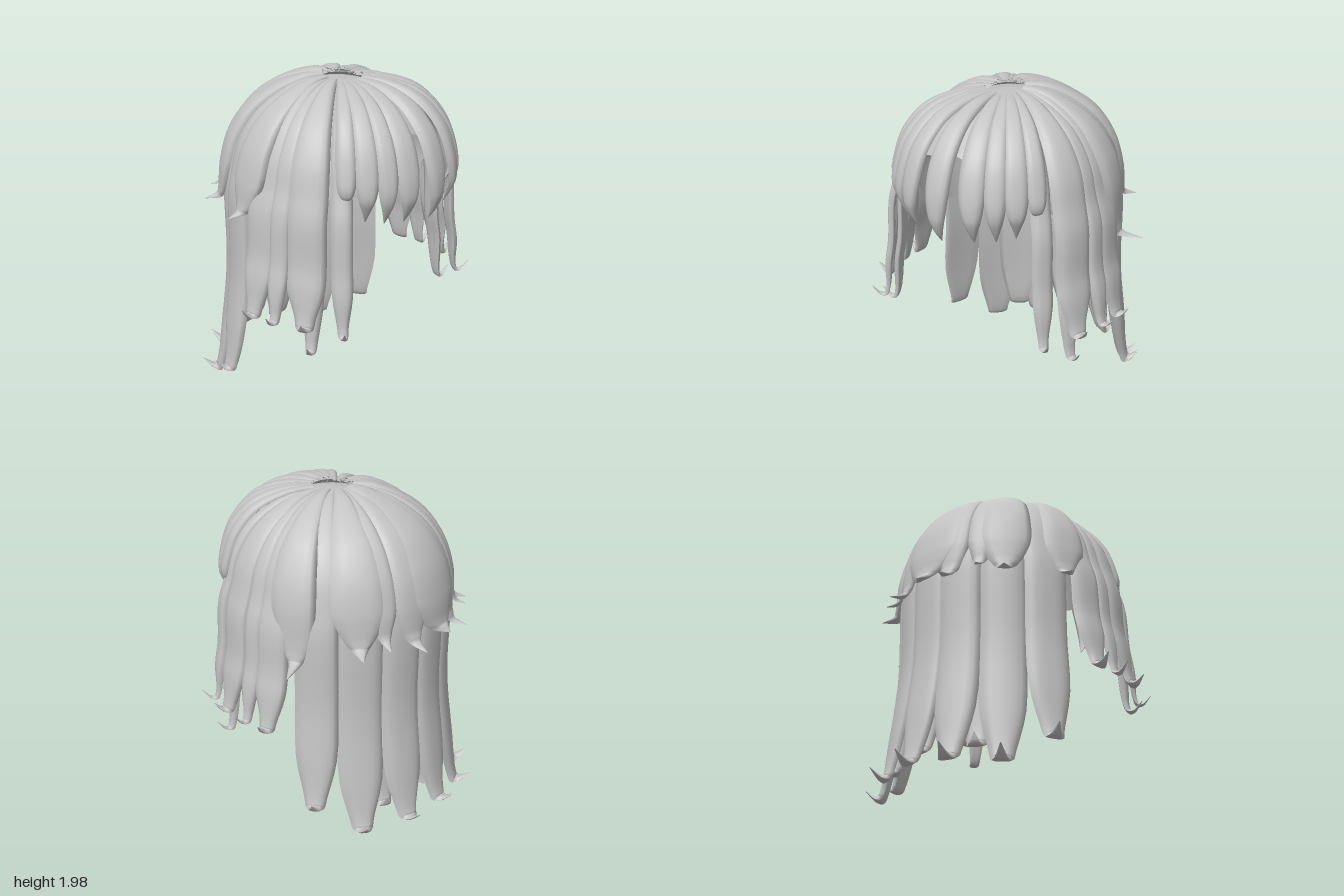
import * as THREE from 'three';

const hair = new THREE.MeshStandardMaterial({ color: 0xc4c4c4, side: THREE.DoubleSide });
hair.name = 'hair grey';

const AXIS_Z = 0.1; // crown axis
const RAD = Math.PI / 180;
// the head is a little longer than it is wide
const stretch = (a) => 1 + 0.1 * Math.cos(a) ** 2;
const place = (a, r, y) => [Math.sin(a) * r * stretch(a), y, Math.cos(a) * r * stretch(a) + AXIS_Z];

// radius and height of the skull, crown to ear
const DOME = [[0.1, 1.98], [0.2, 1.962], [0.35, 1.9], [0.5, 1.785], [0.6, 1.62], [0.645, 1.45]];

function gridGeometry(pos, rows, cols) {
  const index = [];
  for (let i = 0; i < rows - 1; i++) {
    for (let j = 0; j < cols - 1; j++) {
      const a = i * cols + j, b = a + 1, c = a + cols, d = c + 1;
      index.push(a, c, b, b, c, d);
    }
  }
  const g = new THREE.BufferGeometry();
  g.setAttribute('position', new THREE.Float32BufferAttribute(pos, 3));
  g.setIndex(index);
  g.computeVertexNormals();
  return g;
}

// a lock swept along [radius, height, half width] points, bent around the crown axis;
// sweep turns it sideways, in degrees from root to tip
function lock(name, azimuth, points, thick, sweep = 0) {
  const curve = new THREE.CatmullRomCurve3(points.map((p) => new THREE.Vector3(...p)), false, 'centripetal');
  const rows = 40, across = 8, pos = [];
  for (let i = 0; i < rows; i++) {
    const t = i / (rows - 1);
    const p = curve.getPoint(t), d = curve.getTangent(t);
    const len = Math.hypot(d.x, d.y) || 1;
    const nr = -d.y / len, ny = d.x / len;
    const w = Math.max(p.z, 0.002);
    const h = thick * Math.min(1, w / 0.05);
    const ring = (u, off) => {
      const a = (azimuth + sweep * t) * RAD + (u * w) / Math.max(p.x, 0.08);
      pos.push(...place(a, p.x + nr * off, p.y + ny * off));
    };
    for (let j = 0; j <= across; j++) {
      const u = (j / across) * 2 - 1;
      ring(u, h * (1 - u ** 4));
    }
    for (let j = across - 1; j >= 0; j--) {
      const u = (j / across) * 2 - 1;
      ring(u, -0.3 * h * (1 - u ** 4));
    }
  }
  const mesh = new THREE.Mesh(gridGeometry(pos, rows, across * 2 + 1), hair);
  mesh.name = name;
  return mesh;
}

// crown part of a lock, widening like a wedge
const wedge = (hw, scale, drop) =>
  DOME.map(([r, y]) => [r * scale, y - drop, hw * Math.min(1, r / 0.62)]);

// long lock with a blunt end and a flicked tip
function longLock(name, az, bottom, hw, { scale = 0.97, mid = 0.68, end = 0.74, flick = 0.1, sweep = 0 } = {}) {
  const fall = 1.28 - bottom;
  const taper = Math.min(0.33, fall * 0.38);
  return lock(name, az, [
    ...wedge(hw, scale, 0.02),
    [scale * 0.28 + mid * 0.58, 1.28, hw],
    [mid, bottom + fall * 0.6, hw],
    [mid * 0.45 + end * 0.55, bottom + taper, hw * 0.96],
    [end - 0.005, bottom + 0.08, hw * 0.55],
    [end + 0.015, bottom + 0.02, hw * 0.45],
    [end + 0.05, bottom + 0.02, hw * 0.28],
    [end + flick, bottom + 0.08, 0.003],
  ], 0.03, sweep);
}

// short overlapping lock of the top layer
function topLock(name, az, bottom, hw, { flick = 0.09, scale = 1.02, sweep = 0 } = {}) {
  return lock(name, az, [
    ...wedge(hw, scale, 0.008),
    [0.655 * scale, bottom + 0.15, hw * 0.82],
    [0.662 * scale, bottom + 0.07, hw * 0.55],
    [0.69, bottom + 0.025, hw * 0.32],
    [0.69 + flick, bottom, 0.003],
  ], 0.025, sweep);
}

// pointed bang arching over the forehead
function bang(az, bottom, hw) {
  const drop = 1.22 - bottom;
  return lock('bang', az, [
    [0.13, 1.96, 0.025], [0.27, 1.942, hw * 0.6], [0.45, 1.865, hw * 0.85],
    [0.575, 1.72, hw], [0.635, 1.54, hw], [0.645, 1.4 - drop * 0.5, hw * 0.75],
    [0.63, 1.3 - drop, hw * 0.4], [0.6, bottom, 0.003],
  ], 0.028);
}

// scalp shell, open at the face and dipping to a point at the nape
function scalp() {
  const edge = [[0, 1.7], [35, 1.62], [58, 1.4], [75, 1.2], [98, 1.08], [120, 1.05], [150, 0.96], [165, 0.9], [180, 0.84]];
  const bottomAt = (deg) => {
    const i = Math.max(1, edge.findIndex(([a]) => deg <= a));
    const [a0, y0] = edge[i - 1], [a1, y1] = edge[i];
    return y0 + ((y1 - y0) * (deg - a0)) / (a1 - a0);
  };
  const profile = new THREE.CatmullRomCurve3(
    [[0, 1.94], ...DOME.map(([r, y]) => [r * 0.89, y - 0.045]), [0.555, 1.2], [0.54, 0.8]]
      .map(([r, y]) => new THREE.Vector3(r, y, 0)), false, 'centripetal');
  const samples = profile.getPoints(200);
  const rows = 24, cols = 73, pos = [];
  for (let i = 0; i < rows; i++) {
    for (let j = 0; j < cols; j++) {
      const deg = (j / (cols - 1)) * 360 - 180;
      const low = bottomAt(Math.abs(deg));
      const last = samples.findIndex((p) => p.y <= low) / 200;
      const p = profile.getPoint((last * i) / (rows - 1));
      pos.push(...place(deg * RAD, p.x, i === rows - 1 ? low : p.y));
    }
  }
  const mesh = new THREE.Mesh(gridGeometry(pos, rows, cols), hair);
  mesh.name = 'scalp';
  return mesh;
}

export function createModel() {
  const model = new THREE.Group();
  model.name = 'hair';
  model.add(scalp());

  const back = { scale: 0.96, mid: 0.635, end: 0.715, flick: 0.115 };
  const inner = { scale: 0.93, mid: 0.59, end: 0.635, flick: 0.07 };

  // centre locks
  model.add(
    bang(0, 1.22, 0.075),
    longLock('backLock', 180, 0.05, 0.125, back),
    longLock('innerBackLock', 180, 0.14, 0.12, inner),
    topLock('topBackLock', 182, 1.22, 0.23, { flick: 0.06 }),
  );

  // mirrored locks
  for (const s of [-1, 1]) {
    for (const [az, bottom, hw] of [[18, 1.25, 0.07], [29, 1.26, 0.06], [39, 1.28, 0.065], [49, 1.34, 0.055]]) {
      model.add(bang(s * az, bottom, hw));
    }
    model.add(
      longLock('frontLock', s * 52, 0.6, 0.06, { mid: 0.685, end: 0.725, sweep: s * -2 }),
      longLock('sideLock', s * 69, 0.64, 0.12, { scale: 0.99, mid: 0.69, sweep: s * -2 }),
      longLock('underSideLock', s * 65, 0.48, 0.07, { scale: 0.94, mid: 0.66, end: 0.71 }),
      longLock('thinSideLock', s * 82, 0.64, 0.07, { mid: 0.69, end: 0.745 }),
      longLock('earLock', s * 94, 0.64, 0.115, { mid: 0.69, end: 0.745 }),
      longLock('rearSideLock', s * 117, 0.15, 0.13, { mid: 0.655, end: 0.72 }),
      longLock('backSideLock', s * 139, 0, 0.13, back),
      longLock('backLock', s * 161, 0.03, 0.125, back),
      longLock('innerBackLock', s * 151, 0.12, 0.12, inner),
      topLock('topBackTip', s * 165, 1.19, 0.11, { scale: 1.005 }),
      topLock('topBackSideLock', s * 138, 1.2, 0.15),
      topLock('topRearTip', s * 150, 1.23, 0.08, { scale: 1.0, flick: 0.06 }),
      topLock('topSideLock', s * 102, s > 0 ? 1.09 : 1.22, 0.14, { flick: s > 0 ? 0.15 : 0.08, sweep: s * 6 }),
    );
  }
  return model;
}
